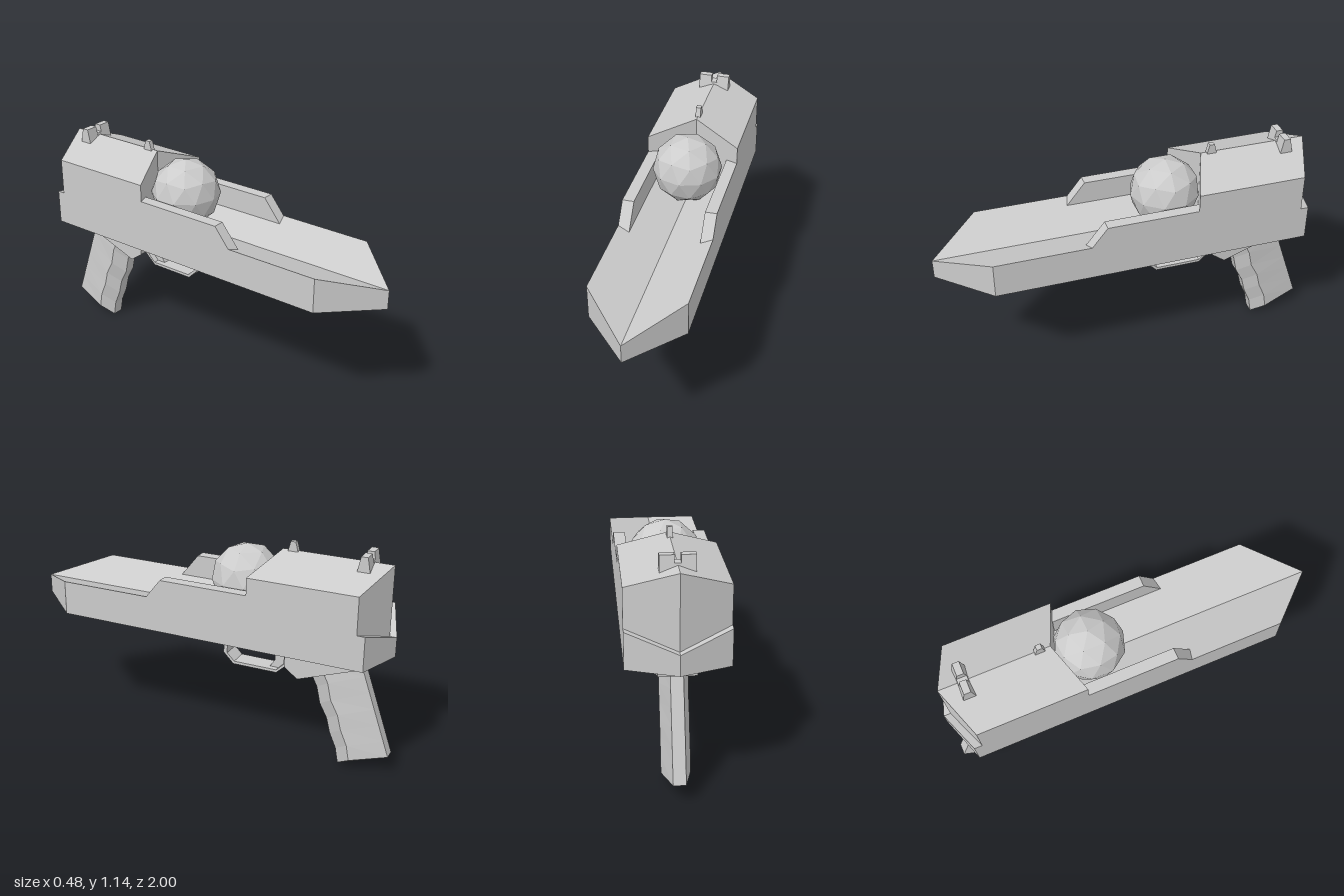
import * as THREE from 'three';

const grey = new THREE.MeshStandardMaterial({ color: 0xcccccc, flatShading: true });

function add(group, name, geometry) {
  const mesh = new THREE.Mesh(geometry, grey);
  mesh.name = name;
  group.add(mesh);
  return mesh;
}

// Side profile of [z, y] points, extruded across x and centred on xMid
function sidePrism(points, width, xMid = 0, hole = null) {
  const toVectors = list => list.map(([z, y]) => new THREE.Vector2(z, y));
  const shape = new THREE.Shape(toVectors(points));
  if (hole) shape.holes.push(new THREE.Path(toVectors(hole)));
  const g = new THREE.ExtrudeGeometry(shape, { depth: width, bevelEnabled: false });
  return g.rotateY(-Math.PI / 2).translate(xMid + width / 2, 0, 0);
}

// Block folded along its centre line; top, front and back are [side, centre] values
function foldedBlock(halfWidth, bottom, top, front, back) {
  const g = new THREE.BoxGeometry(2, 2, 2, 2, 1, 1);
  const p = g.attributes.position;
  for (let i = 0; i < p.count; i++) {
    const c = 1 - Math.abs(p.getX(i));
    const mix = ([side, centre]) => side + (centre - side) * c;
    p.setXYZ(i, p.getX(i) * halfWidth,
      p.getY(i) > 0 ? mix(top) : bottom,
      p.getZ(i) > 0 ? mix(front) : mix(back));
  }
  return g;
}

// Hexagonal grip lofted down its wavy front edge
function gripGeometry() {
  const front = [[-0.565, 0.49], [-0.605, 0.41], [-0.625, 0.32], [-0.665, 0.245],
    [-0.685, 0.165], [-0.72, 0.085], [-0.735, 0.003]];
  const positions = [], index = [], last = front.length - 1;
  front.forEach(([z, y], i) => {
    const t = i / last;
    const bz = -0.822 - 0.173 * t, by = 0.6 - 0.5 * t;
    const mz = z - 0.07, my = y + 0.05;
    positions.push(0.03, y, z, 0.07, my, mz, 0.03, by, bz,
      -0.03, by, bz, -0.07, my, mz, -0.03, y, z);
  });
  for (let i = 0; i < last; i++) {
    for (let j = 0; j < 6; j++) {
      const a = i * 6 + j, b = i * 6 + (j + 1) % 6;
      index.push(a, a + 6, b + 6, a, b + 6, b);
    }
  }
  // butt of the grip
  index.push(...[0, 2, 1, 3, 5, 4, 0, 3, 2, 0, 5, 3].map(k => k + last * 6));
  const g = new THREE.BufferGeometry();
  g.setAttribute('position', new THREE.Float32BufferAttribute(positions, 3));
  g.setIndex(index);
  const flat = g.toNonIndexed();
  flat.computeVertexNormals();
  return flat;
}

export function createModel() {
  const model = new THREE.Group();
  model.name = 'rayPistol';

  // Long lower hull with a valley along the top, and the roofed rear housing
  add(model, 'hull', foldedBlock(0.24, 0.64, [0.82, 0.74], [0.74, 1], [-0.9, -0.985]));
  add(model, 'rearHousing', foldedBlock(0.24, 0.7, [1.01, 1.1], [-0.3, -0.39], [-0.86, -0.95]));

  // Side rails
  for (const side of [1, -1]) {
    add(model, side > 0 ? 'leftRail' : 'rightRail', sidePrism(
      [[0.266, 0.8], [0.17, 0.92], [-0.32, 0.92], [-0.32, 0.8]], 0.06, side * 0.21));
  }

  // Faceted ball standing on one of its five-fold points
  const ball = new THREE.IcosahedronGeometry(0.18, 1);
  ball.rotateX(-Math.atan((1 + Math.sqrt(5)) / 2)).rotateY(Math.PI / 2);
  add(model, 'energyBall', ball).position.set(0, 0.92, -0.2);

  // Sights
  add(model, 'frontSight', sidePrism(
    [[-0.415, 1.08], [-0.432, 1.145], [-0.458, 1.145], [-0.475, 1.08]], 0.026));
  const rearSight = new THREE.Group();
  rearSight.name = 'rearSight';
  model.add(rearSight);
  for (const side of [1, -1]) {
    add(rearSight, 'rearSightPost', sidePrism(
      [[-0.79, 1.06], [-0.808, 1.145], [-0.842, 1.145], [-0.858, 1.06]], 0.066, side * 0.048));
  }
  add(rearSight, 'rearSightNotch', sidePrism(
    [[-0.79, 1.06], [-0.799, 1.11], [-0.85, 1.11], [-0.858, 1.06]], 0.032));

  // Underside: front block, trigger guard, trigger, grip mount
  add(model, 'frontBlock', sidePrism(
    [[0.09, 0.65], [0.09, 0.585], [0.06, 0.555], [-0.11, 0.555], [-0.11, 0.65]], 0.08));
  add(model, 'triggerGuard', sidePrism(
    [[-0.095, 0.65], [-0.095, 0.505], [-0.15, 0.45], [-0.39, 0.45], [-0.45, 0.505], [-0.46, 0.65]],
    0.1, 0,
    [[-0.115, 0.59], [-0.15, 0.622], [-0.395, 0.622], [-0.43, 0.585],
      [-0.43, 0.505], [-0.39, 0.465], [-0.155, 0.465], [-0.115, 0.505]]));
  add(model, 'trigger', sidePrism(
    [[-0.335, 0.63], [-0.37, 0.585], [-0.37, 0.505], [-0.34, 0.46],
      [-0.395, 0.46], [-0.435, 0.505], [-0.435, 0.585], [-0.395, 0.63]], 0.04));
  add(model, 'gripMount', sidePrism(
    [[-0.45, 0.65], [-0.45, 0.51], [-0.52, 0.458], [-0.87, 0.585], [-0.87, 0.65]], 0.18));

  add(model, 'grip', gripGeometry());
  return model;
}
